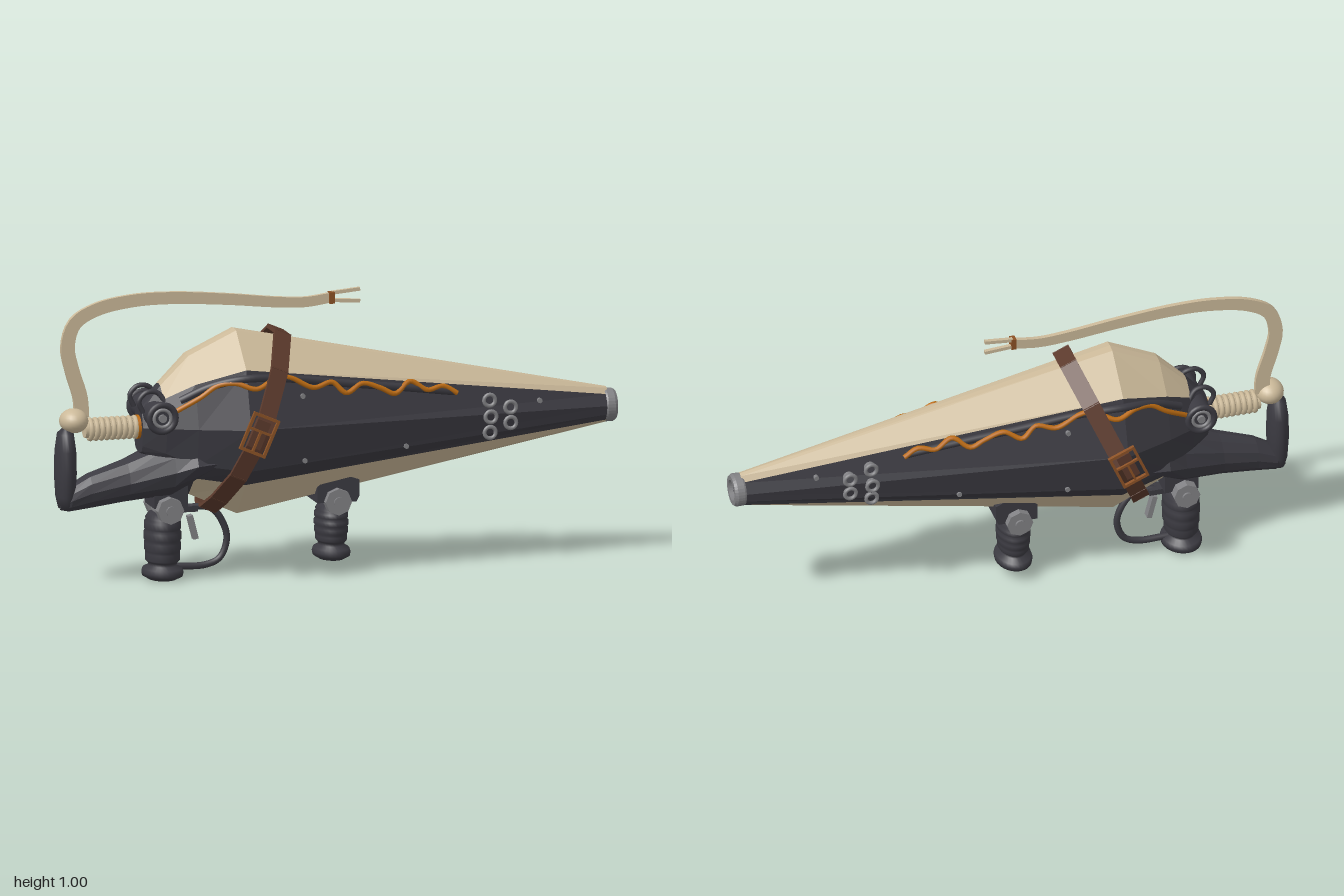
import * as THREE from 'three';

const mat = (name, color) => Object.assign(new THREE.MeshStandardMaterial({ color }), { name });

export function createModel() {
  const root = new THREE.Group();
  const cream = mat('cream', 0xcbb999), dark = mat('charcoal', 0x3b3a41), leather = mat('brownLeather', 0x5c3a2c);
  const copper = mat('orangeWire', 0xbd6c12), bronze = mat('bronze', 0x8c5226), steel = mat('steelGrey', 0x818184);

  const add = (name, geo, material, x = 0, y = 0, z = 0, parent = root) => {
    const m = new THREE.Mesh(geo, material);
    m.name = name;
    m.position.set(x, y, z);
    parent.add(m);
    return m;
  };
  const tube = (name, pts, r, material, n = 40) => add(name,
    new THREE.TubeGeometry(new THREE.CatmullRomCurve3(pts.map(p => new THREE.Vector3(...p))), n, r, 8), material);
  const cylZ = (r, len, sides = 24) => new THREE.CylinderGeometry(r, r, len, sides).rotateX(Math.PI / 2);
  const flat = geo => { const g = geo.index ? geo.toNonIndexed() : geo; g.computeVertexNormals(); return g; };

  // Faceted skin between mirrored half sections, for points k0..k1
  const skin = (stations, k0, k1) => {
    const v = [];
    for (let s = 0; s < stations.length - 1; s++) for (let k = k0; k < k1; k++) for (const m of [1, -1]) {
      const P = (i, j) => [stations[i].x, stations[i].p[j][1], m * stations[i].p[j][0]];
      const a = P(s, k), b = P(s + 1, k), c = P(s + 1, k + 1), d = P(s, k + 1);
      v.push(...(m > 0 ? [d, c, b, d, b, a] : [b, c, d, a, b, d]).flat());
    }
    const g = new THREE.BufferGeometry();
    g.setAttribute('position', new THREE.Float32BufferAttribute(v, 3));
    g.computeVertexNormals();
    return g;
  };

  // Main hull: half sections [z, y] from ridge to keel
  const hull = [
    { x: -0.70, p: [[0, .61], [.02, .608], [.04, .6], [.06, .545], [.05, .48], [.04, .46], [.01, .45], [0, .45]] },
    { x: -0.63, p: [[0, .69], [.025, .685], [.07, .645], [.12, .55], [.1, .46], [.07, .42], [.02, .37], [0, .37]] },
    { x: -0.53, p: [[0, .788], [.03, .785], [.12, .7], [.165, .55], [.145, .42], [.11, .37], [.03, .3], [0, .298]] },
    { x: -0.36, p: [[0, .868], [.03, .865], [.162, .75], [.228, .55], [.197, .4], [.15, .345], [.04, .225], [0, .222]] },
    { x: 0.97, p: [[0, .592], [.012, .588], [.025, .568], [.045, .53], [.04, .5], [.033, .482], [.01, .47], [0, .47]] },
  ];
  const rearEnd = { x: -0.70, p: hull[0].p.map(() => [0, .53]) };
  add('upperShell', skin(hull.slice(1), 0, 2), cream);
  add('sideShell', skin(hull, 2, 5), dark);
  add('rearUpperShell', skin(hull.slice(0, 2), 0, 2), dark);
  add('rearLowerShell', skin(hull.slice(0, 3), 5, 7), dark);
  add('lowerShell', skin(hull.slice(2), 5, 7), cream);
  add('rearCap', skin([rearEnd, hull[0]], 0, 7), dark);

  // Half width of the hull at a given x and y
  const sideZ = (x, y) => {
    let s = 0;
    while (s < hull.length - 2 && hull[s + 1].x < x) s++;
    const t = (x - hull[s].x) / (hull[s + 1].x - hull[s].x);
    const p = hull[s].p.map((q, i) => q.map((n, j) => n + (hull[s + 1].p[i][j] - n) * t));
    for (let k = 0; k < 7; k++) if (y <= p[k][1] && y >= p[k + 1][1])
      return p[k][0] + (p[k + 1][0] - p[k][0]) * (p[k][1] - y) / (p[k][1] - p[k + 1][1] || 1);
    return 0;
  };

  // Muzzle ring and bore
  const muzzle = new THREE.LatheGeometry([[.037, .02], [.055, .0], [.058, .006], [.058, .03], [.052, .04], [.037, .04],
    [.037, .02]].map(p => new THREE.Vector2(...p)), 32).rotateZ(-Math.PI / 2);
  add('muzzleRing', flat(muzzle), steel, .96, .527);
  add('muzzleBore', new THREE.CylinderGeometry(.04, .04, .01, 24).rotateZ(Math.PI / 2), dark, .978, .527);

  // Stock and rear handle
  const stock = [[-.985, .275, .012, .02], [-.95, .3, .045, .05], [-.88, .325, .062, .058], [-.75, .355, .075, .08],
    [-.6, .395, .1, .13], [-.53, .42, .08, .165], [-.44, .43, .02, .17]].map(([x, yc, h, w]) => ({ x,
    p: Array.from({ length: 7 }, (_, k) => [w * Math.sin(k * Math.PI / 6), yc + h * Math.cos(k * Math.PI / 6)]) }));
  add('stock', skin(stock, 0, 6), dark);
  const handle = new THREE.LatheGeometry([[0, .26], [.024, .27], [.033, .31], [.038, .39], [.036, .47], [.028, .53], [0, .56]]
    .map(p => new THREE.Vector2(...p)), 20);
  add('rearHandle', handle, dark, -.962).scale.z = 1.55;

  // Spring coupling and ball
  add('couplingCore', new THREE.CylinderGeometry(.03, .03, .21, 20).rotateZ(Math.PI / 2), cream, -.79, .54);
  for (let i = 0; i < 9; i++)
    add('couplingRing', new THREE.TorusGeometry(.033, .009, 8, 24).rotateY(Math.PI / 2), cream, -.875 + i * .02, .54);
  add('couplingCollar', new THREE.CylinderGeometry(.042, .042, .02, 20).rotateZ(Math.PI / 2), copper, -.7, .54);
  add('couplingBall', new THREE.SphereGeometry(.05, 24, 16), cream, -.932, .573).scale.set(1, .85, 1.15);

  // Flat curved strap with a forked tip
  const path = new THREE.CatmullRomCurve3([[-.9, .58], [-.905, .65], [-.935, .75], [-.95, .83], [-.925, .91], [-.85, .955],
    [-.72, .98], [-.58, .983], [-.38, .968], [-.2, .948], [-.1, .943], [0, .955]].map(p => new THREE.Vector3(...p, 0)));
  const left = [], right = [];
  for (let i = 0; i <= 60; i++) {
    const p = path.getPointAt(i / 60), t = path.getTangentAt(i / 60), w = .026 - .009 * i / 60;
    left.push(new THREE.Vector2(p.x - t.y * w, p.y + t.x * w));
    right.unshift(new THREE.Vector2(p.x + t.y * w, p.y - t.x * w));
  }
  add('strap', new THREE.ExtrudeGeometry(new THREE.Shape([...left, ...right]), { depth: .016, bevelEnabled: false }),
    cream, 0, 0, -.024);
  for (const s of [1, -1])
    add('strapTine', new THREE.BoxGeometry(.1, .012, .014), cream, .045, .957 + s * .017, -.016).rotation.z = s > 0 ? .09 : -.07;
  add('strapBand', new THREE.BoxGeometry(.018, .04, .028), bronze, -.008, .954, -.012);

  // Cross cylinder with end dials and a cable loop
  add('crossCylinder', cylZ(.047, .25), dark, -.65, .59);
  for (const s of [1, -1]) {
    add('dialRim', new THREE.TorusGeometry(.047, .011, 10, 28), dark, -.65, .59, s * .128);
    add('dialRing', new THREE.TorusGeometry(.03, .006, 8, 24), steel, -.65, .59, s * .128);
    add('dialHub', cylZ(.014, .012, 16), steel, -.65, .59, s * .13);
    tube('cableLoop', [[-.7, .6, s * .06], [-.715, .64, s * .06], [-.69, .67, s * .06], [-.65, .668, s * .06], [-.62, .63, s * .07]], .009, dark, 24);
  }

  // Wavy wires along the hull shoulders
  const wire = [[-.6, .61], [-.52, .66], [-.46, .7], [-.4, .708], [-.33, .688], [-.25, .722], [-.2, .715], [-.12, .677], [-.05, .69],
    [0, .65], [.06, .677], [.13, .656], [.18, .634], [.24, .67], [.3, .637], [.36, .645], [.41, .618]];
  const seam = [[-.58, .645], [-.48, .695], [-.36, .722], [-.2, .71], [0, .68], [.2, .652], [.4, .622]];
  for (const s of [1, -1]) {
    tube('wavyWire', wire.map(([x, y]) => [x, y, s * (sideZ(x, y) + .012)]), .009, copper, 100);
    tube('wireConduit', seam.map(([x, y]) => [x, y, s * (sideZ(x, y) + .002)]), .014, dark, 60);

    // Vent sockets and screws
    for (const [x, y] of [[.527, .585], [.527, .53], [.527, .473], [.602, .557], [.602, .503]]) {
      const z = sideZ(x, y);
      add('ventRing', new THREE.TorusGeometry(.02, .007, 8, 20), steel, x, y, s * (z + .012));
      add('ventTube', new THREE.CylinderGeometry(.021, .021, .04, 20, 1, true).rotateX(Math.PI / 2), steel, x, y, s * (z - .006));
    }
    for (const [x, y] of [[.715, .568], [-.155, .425], [.22, .447], [-.16, .65]])
      add('screw', cylZ(.009, .016, 10), steel, x, y, s * sideZ(x, y));
  }

  // Slanted belt made of straight panels
  const belt = [[0, .848], [.045, .848], [.168, .745], [.262, .55], [.2, .385], [.1, .29], [.03, .247], [0, .247]];
  const across = new THREE.Vector3(.918, -.397, 0);
  for (const s of [1, -1]) for (let i = 0; i < belt.length - 1; i++) {
    const [a, b] = [belt[i], belt[i + 1]].map(([z, y]) => new THREE.Vector3(-.2 + (y - .845) * .433, y, s * z));
    const along = b.clone().sub(a), len = along.length();
    along.normalize();
    const m = add('beltPanel', new THREE.BoxGeometry(.062, len + .008, .014), leather);
    m.quaternion.setFromRotationMatrix(new THREE.Matrix4().makeBasis(across, along, across.clone().cross(along)));
    m.position.copy(a.add(b).multiplyScalar(.5));
  }
  // Buckles
  const rect = (C, w, h) => new C([[-w, -h], [w, -h], [w, h], [-w, h]].map(p => new THREE.Vector2(...p)));
  const frame = rect(THREE.Shape, .05, .07);
  frame.holes.push(rect(THREE.Path, .04, .06));
  for (const s of [1, -1]) {
    const buckle = new THREE.Group();
    buckle.name = 'buckle';
    buckle.position.set(-.345, .545, s * .277);
    buckle.rotation.z = -.41;
    root.add(buckle);
    add('buckleFrame', new THREE.ExtrudeGeometry(frame, { depth: .012, bevelEnabled: false }), bronze, 0, 0, -.006, buckle);
    add('buckleBar', new THREE.BoxGeometry(.09, .008, .01), bronze, 0, .012, 0, buckle);
    add('bucklePin', new THREE.BoxGeometry(.008, .07, .01), bronze, 0, -.025, 0, buckle);
    add('buckleTongue', new THREE.BoxGeometry(.05, .1, .02), leather, 0, 0, s * -.013, buckle);
  }

  // Grips with a foot disc and ribbed barrel
  const grip = (name, x, y0, top, rx) => {
    const h = top - y0, pts = [[0, 0], [.75, 0], [1.08, .012], [1.12, .025], [1.05, .038], [.75, .048], [.78, .058]];
    for (let i = 0; i <= 4; i++) {
      const y = .062 + i * (h - .085) / 4, r = .9 + .11 * Math.sin((i + .4) / 4.8 * Math.PI);
      pts.push([r - .07, y], [r, y + .006], [r, y + (h - .085) / 4 - .008]);
    }
    const prof = pts.filter(p => p[1] < h - .006).concat([[.75, h], [0, h]]);
    const g = new THREE.LatheGeometry(prof.map(p => new THREE.Vector2(...p)), 28);
    add(name, g, dark, x, y0).scale.set(rx, 1, .08);
  };
  grip('foreGrip', -.012, .043, .235, .058);
  grip('rearGrip', -.615, .003, .235, .064);
  for (const x of [-.01, -.61]) {
    add('gripNeck', new THREE.BoxGeometry(.06, .06, .11), steel, x, .232);
    for (const s of [1, -1]) {
      add('gripPivot', flat(cylZ(.047, .04, 8)), steel, x, .255, s * .075);
      add('pivotBolt', cylZ(.018, .01, 12), steel, x, .255, s * .098);
    }
  }
  const block = new THREE.Shape([[-.08, .25], [.06, .25], [.07, .27], [.07, .325], [.02, .345], [-.05, .34], [-.08, .305]]
    .map(p => new THREE.Vector2(...p)));
  add('foreGripHousing', new THREE.ExtrudeGeometry(block, { depth: .14, bevelEnabled: false }), dark, 0, 0, -.07);
  add('rearGripHousing', new THREE.BoxGeometry(.12, .09, .12), dark, -.6, .305);

  // Trigger and guard
  tube('triggerGuard', [[-.56, .235, 0], [-.5, .248, 0], [-.44, .24, 0], [-.4, .19, 0], [-.385, .13, 0], [-.41, .065, 0],
    [-.46, .043, 0], [-.58, .043, 0]], .012, dark);
  add('trigger', new THREE.BoxGeometry(.018, .085, .03), steel, -.508, .178).rotation.z = .25;
  add('triggerPost', new THREE.BoxGeometry(.07, .02, .05), dark, -.53, .245);
  return root;
}
